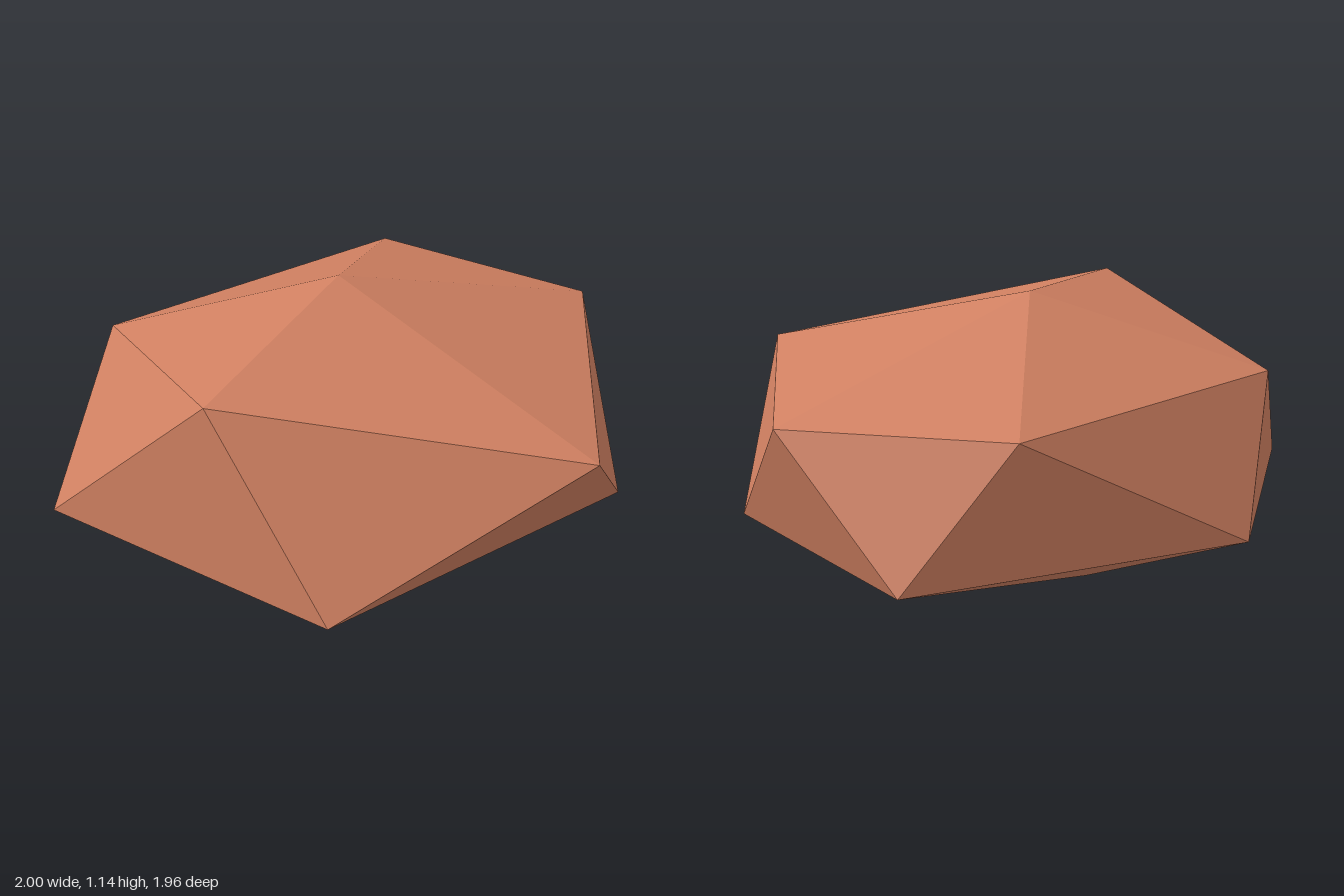
import * as THREE from 'three';

// Corner rings of the stone, counter-clockwise from above
const top = [-0.14, 1.145, 0.01];
const upper = [[-0.85, 0.86, 0.48], [0.06, 1.04, 0.84], [1.0, 0.82, -0.06], [0.2, 0.83, -0.98], [-0.61, 0.87, -0.73]];
const lower = [[-0.63, 0.385, 0.98], [0.55, 0.36, 0.77], [0.7, 0.31, -0.61], [-0.31, 0.35, -0.98], [-1.0, 0.36, 0.1]];
const bottom = [-0.24, 0, 0.25];

export function createModel() {
  const group = new THREE.Group();
  group.name = 'rock';
  const clay = new THREE.MeshStandardMaterial({ color: 0xd08061, flatShading: true });
  clay.name = 'terracotta';

  // Top fan, zigzag band and bottom fan
  const positions = [];
  const face = (a, b, c) => positions.push(...a, ...b, ...c);
  for (let i = 0; i < 5; i++) {
    const j = (i + 1) % 5;
    face(top, upper[i], upper[j]);
    face(upper[i], lower[i], upper[j]);
    face(upper[j], lower[i], lower[j]);
    face(bottom, lower[j], lower[i]);
  }
  const geometry = new THREE.BufferGeometry();
  geometry.setAttribute('position', new THREE.Float32BufferAttribute(positions, 3));
  geometry.computeVertexNormals();

  const stone = new THREE.Mesh(geometry, clay);
  stone.name = 'stone';
  group.add(stone);
  return group;
}
